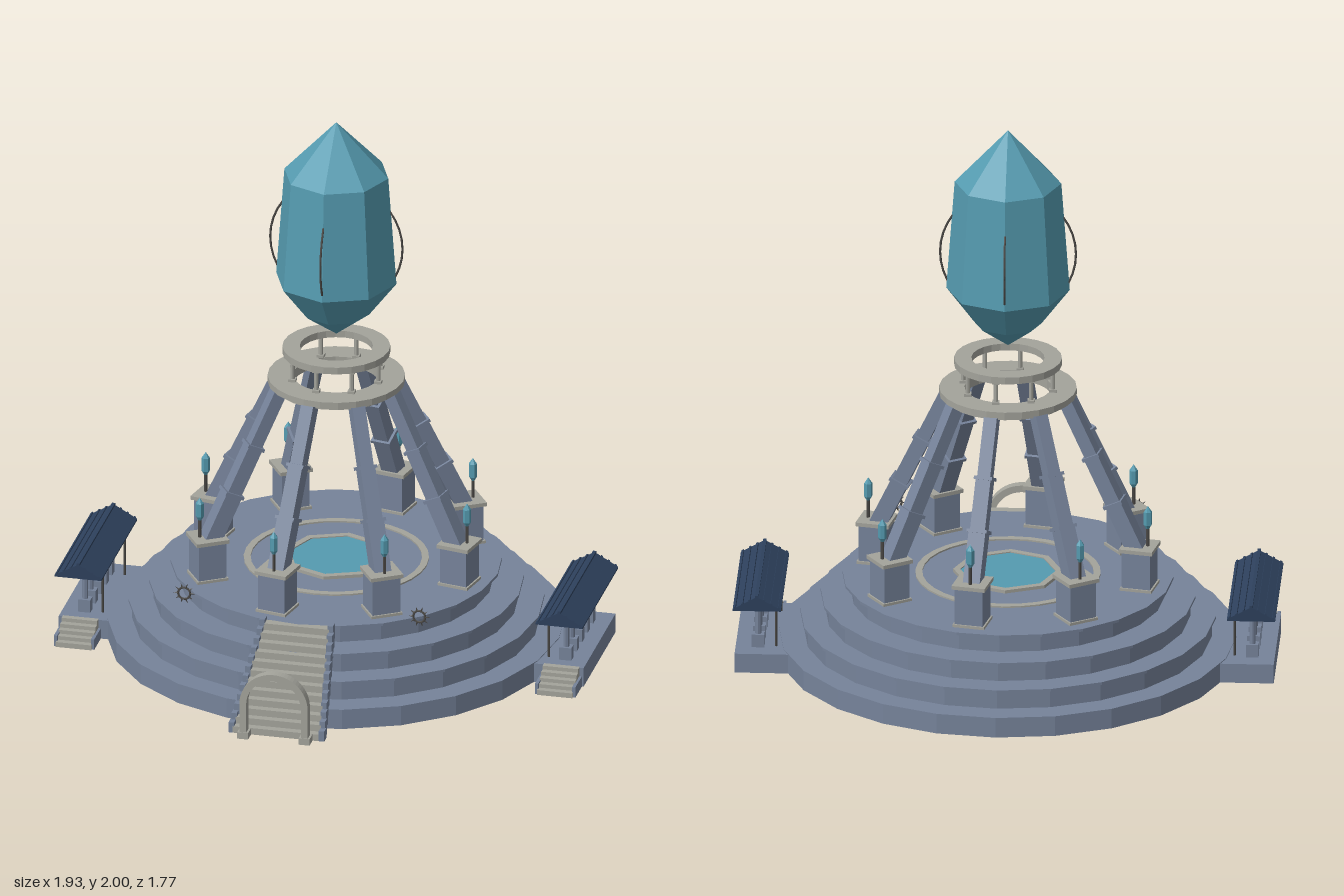
import * as THREE from 'three';

const mat = (color, side = THREE.FrontSide) =>
  new THREE.MeshStandardMaterial({ color, flatShading: true, side });
const STONE = mat(0x76839a), PALE = mat(0xa3a39b), CRYSTAL = mat(0x559bb0);
const ROOF = mat(0x2d405c), METAL = mat(0x4a4845);

function add(parent, name, geo, material, x = 0, y = 0, z = 0) {
  const m = new THREE.Mesh(geo, material);
  m.name = name;
  m.position.set(x, y, z);
  parent.add(m);
  return m;
}

function group(parent, name) {
  const g = new THREE.Group();
  g.name = name;
  parent.add(g);
  return g;
}

const box = (w, h, d) => new THREE.BoxGeometry(w, h, d);
const lathe = (pts, sides) => new THREE.LatheGeometry(pts.map(p => new THREE.Vector2(...p)), sides);
const ring = (inner, outer, y0, y1, sides = 24) =>
  lathe([[inner, y0], [outer, y0], [outer, y1], [inner, y1], [inner, y0]], sides);
const disc = (r, h, sides = 24) => new THREE.CylinderGeometry(r, r, h, sides);

// Stepped round base with a lip on each tier, floor ring and pool
function buildBase(parent) {
  const g = group(parent, 'steppedBase');
  [[0.815, 0.80], [0.74, 0.727], [0.667, 0.65], [0.59, 0.56]].forEach(([lip, body], i) => {
    const y = i * 0.075;
    if (i === 0) add(g, 'tier', disc(lip, 0.075), STONE, 0, 0.0375, 0);
    else {
      add(g, 'tier', disc(body, 0.066), STONE, 0, y + 0.033, 0);
      add(g, 'tierLip', disc(lip, 0.01), STONE, 0, y + 0.07, 0);
    }
  });
  add(g, 'floorRing', ring(0.305, 0.33, 0.295, 0.306, 32), PALE);
  add(g, 'poolRim', ring(0.17, 0.195, 0.295, 0.312, 8), PALE);
  add(g, 'pool', disc(0.175, 0.012, 8), CRYSTAL, 0, 0.302, 0);
}

// One leaning leg on its pedestal; local +x points outward
function buildLeg(parent, angle) {
  const g = group(parent, 'leg');
  g.rotation.y = -angle;
  const r = 0.485;
  add(g, 'pedestal', box(0.104, 0.15, 0.104), STONE, r, 0.375, 0);
  add(g, 'pedestalFoot', box(0.116, 0.01, 0.116), PALE, r, 0.305, 0);
  add(g, 'pedestalCap', box(0.122, 0.014, 0.122), PALE, r, 0.452, 0);

  const foot = new THREE.Vector2(0.475, 0.445), top = new THREE.Vector2(0.215, 0.99);
  const tilt = Math.atan2(foot.x - top.x, top.y - foot.y), length = foot.distanceTo(top);
  const stops = [0, 0.31, 0.625, 1];
  for (let i = 0; i < 3; i++) {
    const w = 0.062 - i * 0.007;
    const mid = foot.clone().lerp(top, (stops[i] + stops[i + 1]) / 2);
    const beam = add(g, 'legBeam', box(w, length * (stops[i + 1] - stops[i]), w), STONE, mid.x, mid.y, 0);
    beam.rotation.z = tilt;
    if (i < 2) {
      const p = foot.clone().lerp(top, stops[i + 1]);
      add(g, 'legBand', box(w + 0.012, 0.012, w + 0.012), STONE, p.x, p.y, 0).rotation.z = tilt;
    }
  }

  // Small crystal lamp on the outer edge of the pedestal
  add(g, 'lampStand', disc(0.006, 0.08, 6), METAL, 0.515, 0.49, 0);
  add(g, 'lampCrystal', lathe([[0, 0.515], [0.015, 0.54], [0.015, 0.59], [0, 0.612]], 6), CRYSTAL, 0.515, 0, 0);
}

// Double ring that crowns the legs
function buildCrown(parent) {
  const g = group(parent, 'crown');
  add(g, 'lowerRing', ring(0.155, 0.225, 0.978, 0.992), PALE);
  add(g, 'lowerRingTop', ring(0.155, 0.245, 0.992, 1.015), PALE);
  add(g, 'upperRing', ring(0.13, 0.192, 1.102, 1.128), PALE);
  for (let i = 0; i < 8; i++) {
    const a = Math.PI * (i / 4 + 1 / 15), x = 0.165 * Math.cos(a), z = 0.165 * Math.sin(a);
    add(g, 'crownColumn', disc(0.008, 0.09, 8), PALE, x, 1.058, z);
    add(g, 'crownColumnFoot', box(0.026, 0.01, 0.026), PALE, x, 1.02, z);
    add(g, 'crownColumnHead', box(0.026, 0.01, 0.026), PALE, x, 1.098, z);
  }
}

// Eight-sided floating crystal with two thin hoops
function buildCrystal(parent) {
  const g = group(parent, 'floatingCrystal');
  add(g, 'crystal', lathe([[0, 1.175], [0.12, 1.262], [0.22, 1.392], [0.19, 1.80], [0, 2]], 8), CRYSTAL);
  for (const turn of [0, Math.PI / 2])
    add(g, 'crystalHoop', new THREE.TorusGeometry(0.242, 0.004, 6, 40), METAL, 0, 1.53, 0).rotation.y = turn;
}

// Front staircase that widens downward, with stepped side walls
function buildStairs(parent) {
  const g = group(parent, 'frontStairs');
  const n = 12, run = 0.325 / n, rise = 0.3 / n;
  for (let i = 0; i < n; i++) {
    const half = 0.135 + 0.04 * i / (n - 1);
    const y = 0.3 - rise * i, z = 0.51 + run * (i + 0.5), h = Math.min(0.045, y);
    add(g, 'step', box(half * 2 - 0.03, h, run + 0.006), PALE, 0, y - h / 2, z);
    for (const s of [-1, 1])
      add(g, 'stairWall', box(0.02, h + 0.014, run + 0.006), STONE, s * (half - 0.01), y - h / 2 + 0.007, z);
  }
}

// Round-headed gate at the foot of the stairs
function buildGate(parent) {
  const g = group(parent, 'frontGate');
  const s = new THREE.Shape();
  s.moveTo(0.125, 0);
  s.lineTo(0.125, 0.135);
  s.absarc(0, 0.135, 0.125, 0, Math.PI, false);
  s.lineTo(-0.125, 0);
  s.lineTo(-0.1, 0);
  s.lineTo(-0.1, 0.135);
  s.absarc(0, 0.135, 0.1, Math.PI, 0, true);
  s.lineTo(0.1, 0);
  add(g, 'gateArch', new THREE.ExtrudeGeometry(s, { depth: 0.034, bevelEnabled: false, curveSegments: 16 }),
    PALE, 0, 0, 0.847);
  for (const x of [-0.1125, 0.1125])
    add(g, 'gateFoot', box(0.04, 0.025, 0.044), PALE, x, 0.0125, 0.862);
}

// Roofed side pavilion; side is +1 or -1 in x
function buildPavilion(parent, side) {
  const g = group(parent, 'pavilion');
  const x = side * 0.88;
  add(g, 'platform', box(0.2, 0.072, 0.485), STONE, side * 0.86, 0.036, -0.082);
  for (let i = 0; i < 5; i++) {
    const h = 0.075 - i * 0.014;
    add(g, 'pavilionStep', box(0.13, h, 0.023), PALE, x, h / 2, 0.168 + i * 0.022);
  }
  for (const s of [-1, 1])
    add(g, 'pavilionStairWall', box(0.012, 0.04, 0.1), STONE, x + s * 0.068, 0.02, 0.21);

  // Colonnade with small arches
  for (let i = 0; i < 5; i++) {
    const z = 0.09 - i * 0.083;
    add(g, 'columnBase', box(0.045, 0.05, 0.036), STONE, x, 0.095, z);
    add(g, 'column', disc(0.011, 0.13, 8), STONE, x, 0.175, z);
    add(g, 'columnHead', box(0.03, 0.01, 0.026), PALE, x, 0.218, z);
    if (i % 4 === 0) add(g, 'innerPost', disc(0.005, 0.18, 6), METAL, side * 0.816, 0.16, z);
    if (i < 4) {
      const arch = add(g, 'columnArch', new THREE.TorusGeometry(0.037, 0.005, 5, 10, Math.PI), STONE,
        x, 0.192, z - 0.0415);
      arch.rotation.y = Math.PI / 2;
    }
  }
  add(g, 'roofBeam', box(0.03, 0.022, 0.4), STONE, x, 0.238, -0.075);

  // Gabled roof with ribs down each slope
  const s = new THREE.Shape([[-0.086, 0.243], [0.086, 0.243], [0.086, 0.249], [0, 0.297], [-0.086, 0.249]]
    .map(p => new THREE.Vector2(...p)));
  add(g, 'roof', new THREE.ExtrudeGeometry(s, { depth: 0.54, bevelEnabled: false }), ROOF, x, 0, -0.34);
  add(g, 'roofRidge', box(0.012, 0.012, 0.54), ROOF, x, 0.296, -0.07);
  const slope = Math.atan2(0.048, 0.086);
  for (const d of [-1, 1])
    for (const t of [0.3, 0.6, 0.9])
      add(g, 'roofRib', box(0.008, 0.008, 0.54), ROOF, x + d * 0.086 * t, 0.297 - 0.048 * t, -0.07)
        .rotation.z = -d * slope;
}

// Spiked sun emblem
function buildSun(parent, x) {
  const g = group(parent, 'sunEmblem');
  g.position.set(x, 0.347, 0.455);
  add(g, 'sunRing', new THREE.TorusGeometry(0.022, 0.004, 6, 20), METAL);
  for (let i = 0; i < 10; i++) {
    const a = i * Math.PI / 5;
    const ray = add(g, 'sunRay', new THREE.ConeGeometry(0.004, 0.018, 4), METAL,
      0.031 * Math.cos(a), 0.031 * Math.sin(a), 0);
    ray.rotation.z = a - Math.PI / 2;
  }
}

export function createModel() {
  const model = new THREE.Group();
  model.name = 'crystalShrine';
  const tower = group(model, 'tower');
  tower.position.z = -0.07;
  buildBase(tower);
  for (let i = 0; i < 8; i++) buildLeg(tower, Math.PI * (i / 4 + 1 / 15));
  buildCrown(tower);
  buildCrystal(tower);
  buildStairs(model);
  buildGate(model);
  for (const s of [-1, 1]) {
    buildPavilion(model, s);
    buildSun(model, s * 0.43);
  }
  return model;
}
